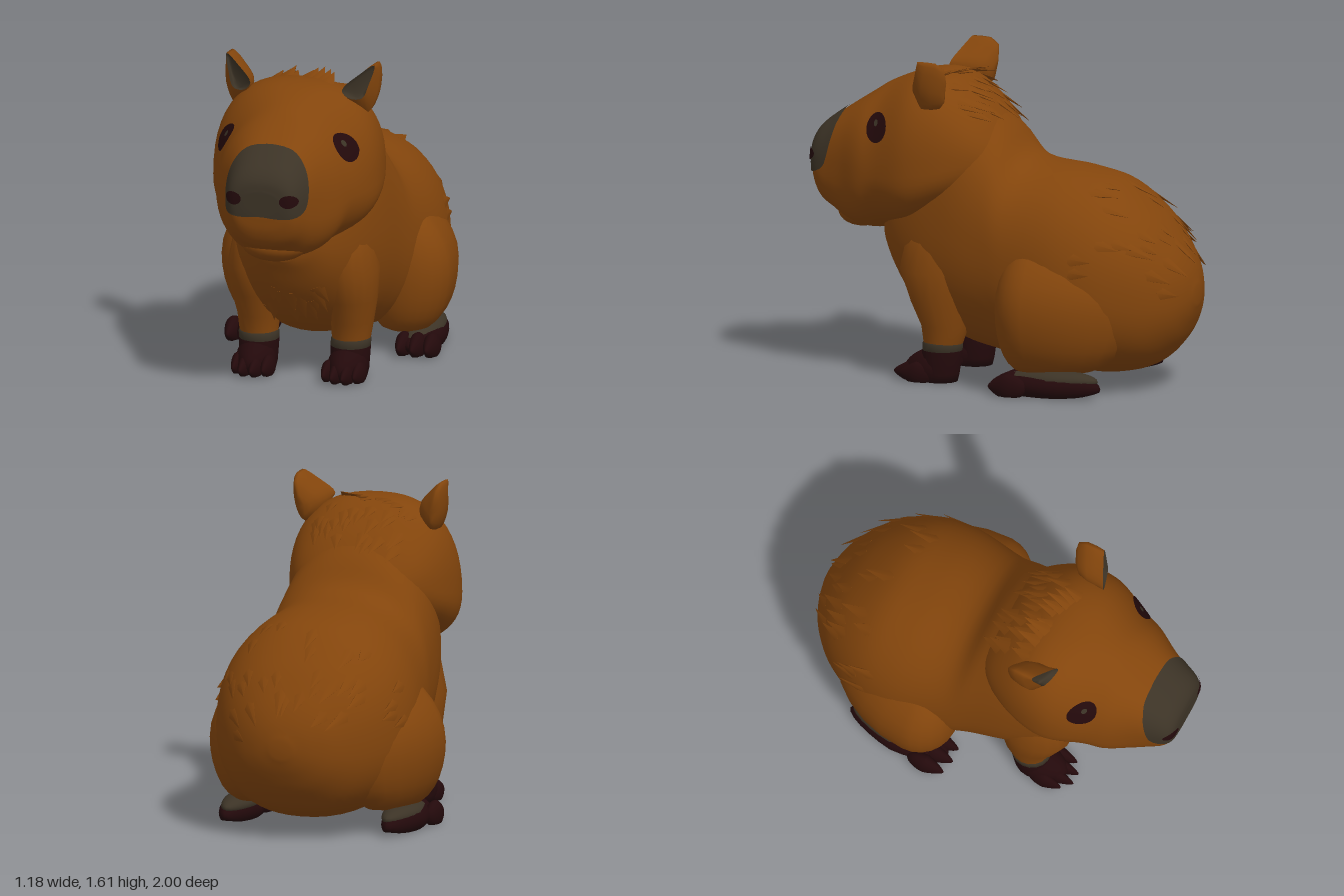
import * as THREE from 'three';
import { mergeGeometries } from 'three/addons/utils/BufferGeometryUtils.js';

const V = (x, y, z) => new THREE.Vector3(x, y, z);
const mat = (name, color) => Object.assign(new THREE.MeshStandardMaterial({ color }), { name });

// Skin over a list of rings, each counter-clockwise seen from the first ring's side
function loft(rings, capStart = true, capEnd = true) {
  const n = rings[0].length, pts = rings.flat(), index = [];
  for (let i = 0; i < rings.length - 1; i++) for (let j = 0; j < n; j++) {
    const k = (j + 1) % n, a = i * n + j, b = i * n + k;
    index.push(a, a + n, b, b, a + n, b + n);
  }
  const cap = (ring, offset, flip) => {
    const c = pts.length;
    pts.push(ring.reduce((s, p) => s.add(p), V(0, 0, 0)).divideScalar(n));
    for (let j = 0; j < n; j++) {
      const a = offset + j, b = offset + (j + 1) % n;
      index.push(c, flip ? b : a, flip ? a : b);
    }
  };
  const last = (rings.length - 1) * n;
  if (capStart) cap(rings[0], 0, false);
  if (capEnd) cap(rings[rings.length - 1], last, true);
  const g = new THREE.BufferGeometry().setFromPoints(pts);
  g.setIndex(index);
  g.computeVertexNormals();
  return g;
}

// Smooth surface through rows of [z, top, bottom, halfWidth, widestY, squareness]
function sectionSurface(rows) {
  const f = new THREE.CubicInterpolant(rows.map((_, i) => i), rows.flat(), 6);
  return (u, t) => {
    const [z, top, bot, w, yc, p] = f.evaluate(u);
    const c = Math.cos(t), s = Math.sin(t);
    const pw = v => Math.sign(v) * Math.abs(v) ** p;
    return V(w * pw(c), yc + (s > 0 ? top - yc : yc - bot) * pw(s), z);
  };
}
function surfaceGeometry(surface, count, steps = 60, sides = 56) {
  return loft(Array.from({ length: steps + 1 }, (_, i) => Array.from({ length: sides },
    (_, j) => surface(i / steps * (count - 1), j / sides * Math.PI * 2))));
}

// Unit sphere with every vertex moved by a rule
function shaped(rule) {
  const g = new THREE.SphereGeometry(1, 24, 16).deleteAttribute('uv'), p = g.attributes.position;
  for (let i = 0; i < p.count; i++) p.setXYZ(i, ...rule(p.getX(i), p.getY(i), p.getZ(i)));
  g.computeVertexNormals();
  return g;
}
const blob = (x, y, z, rx, ry, rz) => shaped((a, b, c) => [x + a * rx, y + b * ry, z + c * rz]);
// Foot pad or toe: flat on the ground, narrowing to the front, with an optional raised narrow heel
const pad = (x, y, z, rx, ry, rz, taper, heel = 0) => shaped((a, b, c) => {
  const back = Math.max(0, -c), k = 1 - taper * Math.max(0, c);
  return [x + a * rx * k * (1 - heel * back), Math.max(heel * .12 * back ** 3, y + b * ry * k), z + c * rz];
});

// Upright limb through rows of [y, x, z, radiusX, radiusZ]
function limb(rows, sides = 18) {
  return loft(rows.map(([y, x, z, rx, rz]) => Array.from({ length: sides }, (_, j) => {
    const t = j / sides * Math.PI * 2;
    return V(x + rx * Math.cos(t), y, z - rz * Math.sin(t));
  })));
}

function closedCurve(points, n) {
  return new THREE.CatmullRomCurve3(points.map(([x, y]) => V(x, y, 0)), true).getPoints(n).slice(0, n);
}
function oval(u, v, ru, rv, n = 24) {
  return Array.from({ length: n }, (_, j) => {
    const t = j / n * Math.PI * 2;
    return V(u + ru * Math.cos(t), v + rv * Math.sin(t), 0);
  });
}

// Thin patch laid on a mesh, projected from the front or from the left side (u = -z)
function patch(target, outline, centre, side, lift, count) {
  const ray = new THREE.Raycaster();
  const rings = [];
  for (let i = 1; i <= count; i++) rings.push(outline.map(p => {
    const u = centre[0] + (p.x - centre[0]) * i / count, v = centre[1] + (p.y - centre[1]) * i / count;
    ray.set(side ? V(3, v, -u) : V(u, v, 3), side ? V(-1, 0, 0) : V(0, 0, -1));
    const hit = ray.intersectObject(target)[0];
    return hit.point.addScaledVector(hit.face.normal, lift);
  }));
  return loft(rings, true, false);
}

function mirrored(g) {
  const m = g.clone().scale(-1, 1, 1), ix = m.index.array;
  for (let i = 0; i < ix.length; i += 3) [ix[i], ix[i + 1]] = [ix[i + 1], ix[i]];
  return m;
}

export function createModel() {
  const model = new THREE.Group();
  const fur = mat('brownFur', 0x83450c), grey = mat('greySkin', 0x3c3326), dark = mat('darkMaroon', 0x23090b);
  const add = (name, geometry, material) => {
    const m = new THREE.Mesh(geometry, material);
    m.name = name;
    model.add(m);
    return m;
  };
  const pair = (name, geometry, material) => {
    add('left' + name, geometry, material);
    add('right' + name, mirrored(geometry), material);
  };

  // Body, from chest to rump
  const bodyRows = [
    [.63, .80, .66, .06, .73, .9], [.60, .95, .60, .16, .75, .9], [.52, 1.05, .45, .25, .75, .9],
    [.38, 1.25, .30, .33, .75, .9], [.20, 1.42, .19, .385, .74, .9], [0, 1.28, .14, .42, .66, .9],
    [-.14, 1.12, .11, .45, .58, .9], [-.40, 1.075, .08, .50, .52, .9], [-.60, 1.02, .075, .48, .50, .9],
    [-.78, .88, .12, .39, .49, .88], [-.90, .73, .23, .27, .47, .9], [-.96, .62, .34, .16, .47, .9],
    [-.99, .52, .43, .05, .475, 1]];
  const bodyAt = sectionSurface(bodyRows);
  add('body', surfaceGeometry(bodyAt, bodyRows.length), fur);

  // Head, from muzzle to nape
  const headRows = [
    [.995, 1.11, .98, .10, 1.05, .85], [.985, 1.16, .90, .15, 1.04, .8], [.95, 1.21, .83, .182, 1.03, .77],
    [.88, 1.265, .785, .212, 1.0, .75], [.80, 1.32, .735, .252, .99, .78], [.70, 1.385, .71, .315, .99, .88],
    [.60, 1.445, .715, .355, 1.01, 1], [.42, 1.51, .76, .42, 1.03, .82], [.25, 1.50, .85, .41, 1.06, .8],
    [.10, 1.39, .90, .35, 1.1, .9], [0, 1.265, .95, .26, 1.1, 1], [-.1, 1.1, 1.0, .1, 1.06, 1]];
  const headAt = sectionSurface(headRows);
  const head = add('head', surfaceGeometry(headAt, headRows.length), fur);
  add('chin', blob(0, .785, .765, .165, .082, .125), fur);

  // Nose pad and nostrils
  const noseHalf = [[.13, .98], [.19, 1.0], [.207, 1.08], [.185, 1.2], [.12, 1.28]];
  const nose = [...noseHalf, [0, 1.305], ...noseHalf.map(([x, y]) => [-x, y]).reverse(), [0, .985]];
  add('nosePad', patch(head, closedCurve(nose, 56), [0, 1.12], false, .007, 18), grey);
  pair('Nostril', patch(head, oval(.137, 1.07, .04, .031), [.137, 1.07], false, .012, 6), dark);

  // Eyes with a small glint
  pair('Eye', patch(head, oval(-.58, 1.25, .064, .07), [-.58, 1.25], true, .007, 8), dark);
  pair('EyeGlint', patch(head, oval(-.585, 1.27, .013, .016, 12), [-.585, 1.27], true, .012, 3), grey);

  // Cupped ears: brown backs wrapping round smaller grey openings
  const earMouth = closedCurve([[.38, 1.61], [.31, 1.565], [.235, 1.49], [.27, 1.45], [.33, 1.45], [.36, 1.52]], 24);
  const earShell = closedCurve([[.38, 1.61], [.31, 1.56], [.245, 1.48], [.27, 1.40], [.335, 1.36], [.387, 1.46]], 24);
  const earRing = (outline, s, z) => outline.map(p => V(.33 + (p.x - .33) * s, 1.44 + (p.y - 1.44) * s,
    z - .3 * (p.x - .23) * s - .22 * Math.max(0, p.y - 1.48) * s));
  pair('Ear', loft([earRing(earMouth, 1, .415), earRing(earShell, 1, .37), earRing(earShell, .98, .32),
    earRing(earShell, .8, .265), earRing(earShell, .4, .23)], false), fur);
  pair('InnerEar', loft([earRing(earMouth, .4, .365), earRing(earMouth, .85, .39), earRing(earMouth, 1, .415)], true, false), grey);

  // Front legs, cuffs and four-toed feet
  pair('FrontLeg', limb([[.88, .22, .27, .02, .04], [.72, .235, .28, .11, .18], [.55, .243, .285, .137, .195],
    [.40, .245, .27, .123, .155], [.28, .24, .25, .105, .12], [.19, .237, .26, .095, .098], [.16, .235, .26, .09, .09]]), fur);
  pair('FrontCuff', limb([[.205, .237, .262, .09, .09], [.19, .237, .262, .1, .101],
    [.155, .235, .265, .099, .1], [.14, .235, .265, .085, .085]]), grey);
  pair('FrontFoot', mergeGeometries([
    limb([[.17, .235, .265, .085, .085], [.155, .235, .265, .1, .101], [.04, .235, .28, .095, .1], [0, .235, .28, .085, .09]]),
    pad(.235, .06, .32, .1, .105, .14, .25),
    ...[[.155, .385, .09], [.207, .41, .1], [.263, .41, .1], [.31, .375, .09]].map(([x, z, r]) =>
      pad(x, .04, z, .034, .06, r, .5))]), dark);

  // Haunches: blunt in front, full below, leaning in toward the back and the rump
  pair('Haunch', shaped((a, b, c) => {
    const full = b < 0 ? Math.max(.05, 1 - b * b) ** -.22 : 1;
    return [.38 + .21 * a * full - (b > 0 ? .1 : .04) * b * b - .07 * Math.max(0, -c) ** 2,
      .42 + b * (b > 0 ? .36 : .325), -.28 + c * full * (c > 0 ? .2 : .48)];
  }), fur);

  // Long three-toed hind feet with a thin grey rim above
  pair('HindCuff', pad(.42, .085, -.385, .09, .05, .24, .2, .25), grey);
  pair('HindFoot', mergeGeometries([pad(.425, .05, -.37, .102, .075, .27, .1, .3),
    ...[[.37, -.17], [.44, -.165], [.51, -.18]].map(([x, z]) => pad(x, .045, z, .042, .068, .1, .5))]), dark);

  // Tufts of fur lying back along a surface
  let seed = 7;
  const rand = () => (seed = (seed * 16807) % 2147483647) / 2147483647;
  const tufts = (at, count, u0, u1, t0, t1, length, tilt) => {
    const list = [];
    for (let i = 0; i < count; i++) {
      const u = u0 + (u1 - u0) * rand(), t = (t0 + (t1 - t0) * (i + rand()) / count) * Math.PI / 180;
      const p = at(u, t), back = at(u + .02, t).sub(p).normalize();
      const normal = back.clone().cross(at(u, t + .02).sub(p)).normalize();
      const dir = back.addScaledVector(normal, tilt).normalize();
      const side = dir.clone().cross(normal).normalize();
      const out = side.clone().cross(dir);
      const len = length * (.7 + .6 * rand());
      p.addScaledVector(dir, len * .35).addScaledVector(normal, -.006);
      list.push(new THREE.ConeGeometry(.045, len, 6).scale(1, 1, .2)
        .applyMatrix4(new THREE.Matrix4().makeBasis(side, dir, out).setPosition(p)));
    }
    return mergeGeometries(list);
  };
  add('crownTufts', tufts(headAt, 9, 7.5, 8, 72, 108, .13, .42), fur);
  add('napeTufts', tufts(headAt, 24, 8, 9.4, 50, 130, .13, .25), fur);
  add('backTufts', tufts(bodyAt, 34, 7.5, 10.2, 5, 175, .14, .14), fur);
  add('chestTufts', tufts(bodyAt, 12, 1.8, 3.2, 235, 305, .13, .12), fur);

  return model;
}
